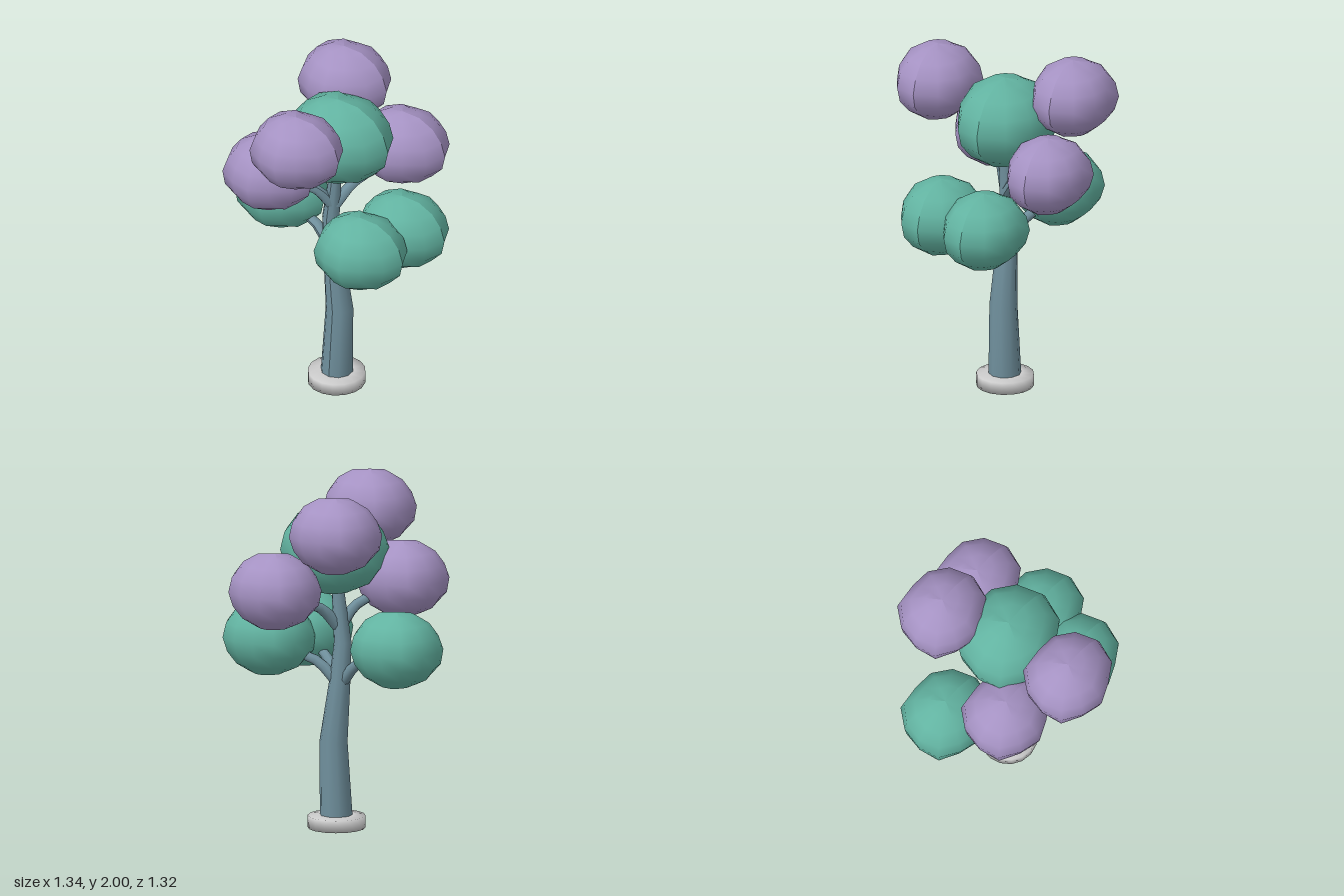
import * as THREE from 'three';

const mat = (color) => new THREE.MeshStandardMaterial({ color });

function addMesh(parent, name, geometry, material) {
  const mesh = new THREE.Mesh(geometry, material);
  mesh.name = name;
  parent.add(mesh);
  return mesh;
}

// Tapered tube with one ring at each [x, y, z, radius] station
function limb(stations, sides) {
  const curve = new THREE.CatmullRomCurve3(stations.map(([x, y, z]) => new THREE.Vector3(x, y, z)));
  curve.getPointAt = curve.getPoint;
  curve.getTangentAt = curve.getTangent;
  const n = stations.length - 1;
  const geo = new THREE.TubeGeometry(curve, n, 1, sides);
  const pos = geo.attributes.position;
  const v = new THREE.Vector3();
  for (let i = 0; i < pos.count; i++) {
    const [x, y, z, r] = stations[Math.floor(i / (sides + 1))];
    const c = new THREE.Vector3(x, y, z);
    v.fromBufferAttribute(pos, i).sub(c).multiplyScalar(r).add(c);
    pos.setXYZ(i, v.x, v.y, v.z);
  }
  geo.computeVertexNormals();
  return geo;
}

// Lumpy foliage ball: 12 sides with an uneven outline and pointed poles
function foliage() {
  const outline = [0.28, 0.266, 0.23, 0.245, 0.24, 0.264, 0.25, 0.25, 0.26, 0.23, 0.25, 0.268];
  const sides = outline.length, rings = 8;
  const geo = new THREE.SphereGeometry(1, sides, rings);
  const pos = geo.attributes.position;
  const wobble = (a, b) => {
    const s = Math.sin(a * 12.99 + b * 78.23) * 43758.5;
    return s - Math.floor(s) - 0.5;
  };
  for (let i = 0; i < pos.count; i++) {
    const row = Math.floor(i / (sides + 1));
    const col = (i % (sides + 1)) % sides;
    const phi = (row / rings) * Math.PI;
    const a = (col / sides) * Math.PI * 2;
    const pole = row === 0 || row === rings;
    const k = pole || row === rings / 2 ? 1 : 1 + 0.07 * wobble(row, col);
    const r = pole ? 0 : outline[col] * Math.sin(phi) * k;
    // columns run clockwise seen from below, so the faces point outward
    const j = (sides - col) % sides;
    const rr = pole ? 0 : (r / outline[col]) * outline[j];
    pos.setXYZ(i, rr * Math.cos(-a), 0.22 * Math.cos(phi) * k, rr * Math.sin(-a));
  }
  geo.computeVertexNormals();
  return geo;
}

export function createModel() {
  const tree = new THREE.Group();
  tree.name = 'tree';
  const bark = mat(0x6f8f9c);
  const green = mat(0x62b3a1);
  const purple = mat(0xa592c3);

  // Round base plate with softly shaded edges
  const profile = [[0, 0], [0.165, 0], [0.165, 0.07], [0.1, 0.075], [0, 0.075]]
    .map(([r, y]) => new THREE.Vector2(r, y));
  addMesh(tree, 'base', new THREE.LatheGeometry(profile, 16), mat(0xcccccc))
    .position.set(0.013, 0, -0.035);

  // Gently bent trunk
  addMesh(tree, 'trunk', limb([
    [0.015, 0.05, -0.035, 0.094],
    [0.032, 0.5, -0.035, 0.08],
    [-0.008, 0.86, -0.035, 0.06],
    [-0.025, 1.08, -0.035, 0.05],
    [0.003, 1.36, -0.035, 0.037],
    [0.015, 1.6, -0.035, 0.03],
  ], 10), bark);

  // Branches: where each leaves the trunk, its elbow and its tip inside the foliage
  const branches = [
    [[-0.02, 0.84, -0.04], [-0.14, 0.97, -0.08], [-0.36, 1.02, -0.14]],
    [[0.0, 0.84, -0.04], [0.13, 0.97, -0.07], [0.36, 1.03, -0.12]],
    [[0.0, 0.84, -0.03], [0.11, 0.96, 0.05], [0.28, 1.03, 0.19]],
    [[-0.01, 1.17, -0.03], [-0.08, 1.29, 0.04], [-0.25, 1.38, 0.17]],
    [[0.0, 1.17, -0.04], [0.07, 1.29, -0.14], [0.2, 1.36, -0.36]],
  ];
  for (const points of branches) {
    const curve = new THREE.CatmullRomCurve3(points.map((p) => new THREE.Vector3(...p)));
    const stations = curve.getPoints(6).map((p, i) => [p.x, p.y, p.z, 0.036 - 0.002 * i]);
    addMesh(tree, 'branch', limb(stations, 8), bark);
  }

  // Foliage balls: x, y, z, material, scale
  const ball = foliage();
  const balls = [
    [-0.415, 1.09, -0.145, green, 1],
    [0.395, 1.09, -0.115, green, 1],
    [0.31, 1.09, 0.21, green, 1],
    [0.02, 1.62, -0.04, green, 1.17],
    [-0.295, 1.43, 0.2, purple, 1],
    [0.215, 1.43, -0.43, purple, 1],
    [-0.145, 1.775, -0.39, purple, 1],
    [0.005, 1.775, 0.41, purple, 1],
  ];
  for (const [x, y, z, material, scale] of balls) {
    const mesh = addMesh(tree, 'foliage', ball, material);
    mesh.position.set(x, y, z);
    mesh.scale.setScalar(scale);
  }
  return tree;
}
